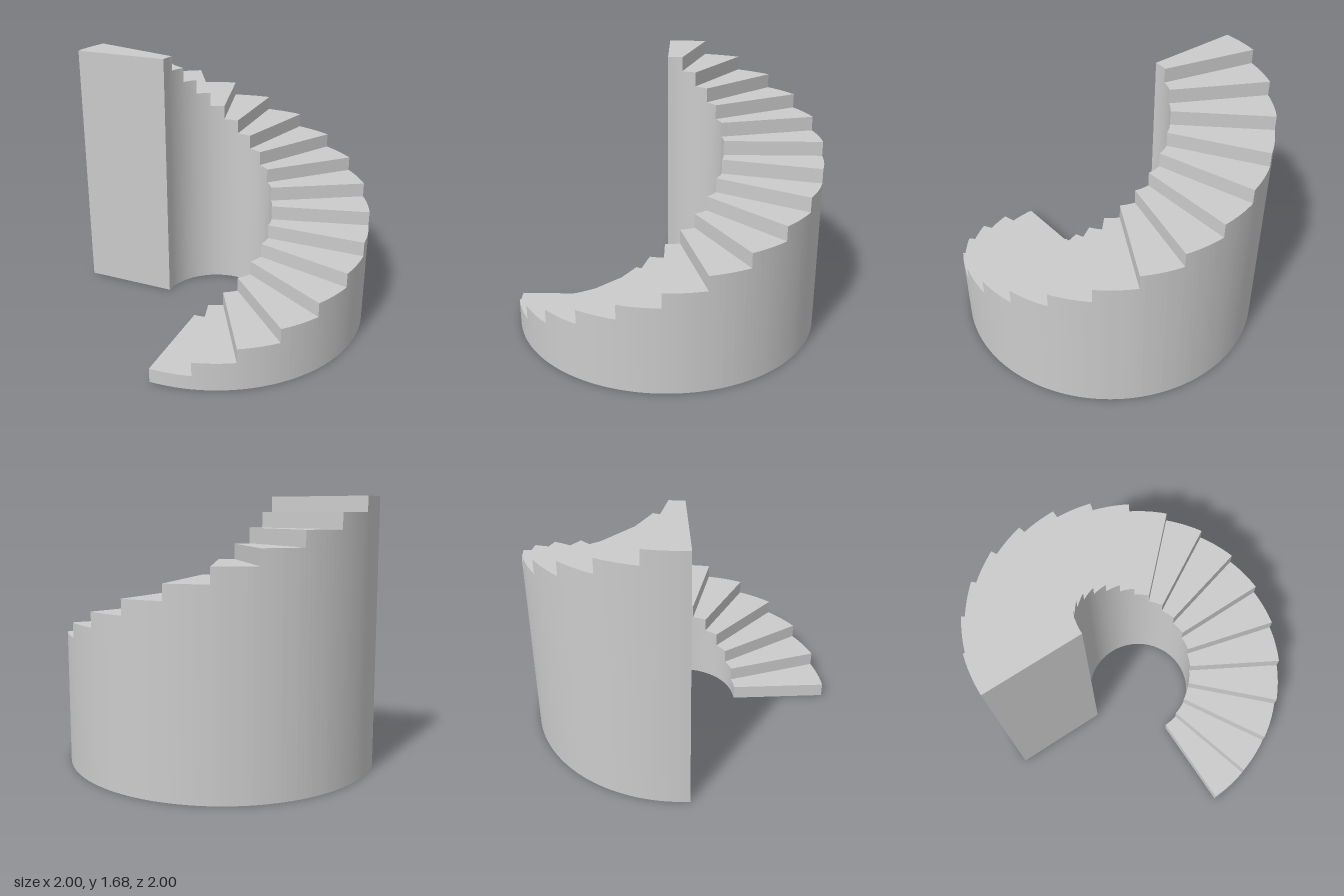
import * as THREE from 'three';

const STEPS = 18;
const STEP_ANGLE = Math.PI / 12;
const HEIGHT = 1.68;
const OUTER = 1;
const INNER = 0.367;

// Ring-sector block standing on the ground, as tall as its tread
function stepGeometry(start, height) {
  const end = start + STEP_ANGLE;
  const sector = new THREE.Shape();
  sector.absarc(0, 0, OUTER, start, end, false);
  sector.absarc(0, 0, INNER, end, start, true);
  sector.closePath();
  const geometry = new THREE.ExtrudeGeometry(sector, {
    depth: height, bevelEnabled: false, curveSegments: 4,
  });
  return geometry.rotateX(-Math.PI / 2);
}

export function createModel() {
  const staircase = new THREE.Group();
  staircase.name = 'curvedStaircase';
  const material = new THREE.MeshStandardMaterial({ color: 0xcccccc, flatShading: true });

  // Steps climb from the front, round the left and back, to the right side
  for (let i = 0; i < STEPS; i++) {
    const start = -Math.PI / 2 + i * STEP_ANGLE;
    const step = new THREE.Mesh(stepGeometry(start, (HEIGHT * (i + 1)) / STEPS), material);
    step.name = `step${i + 1}`;
    staircase.add(step);
  }
  return staircase;
}
